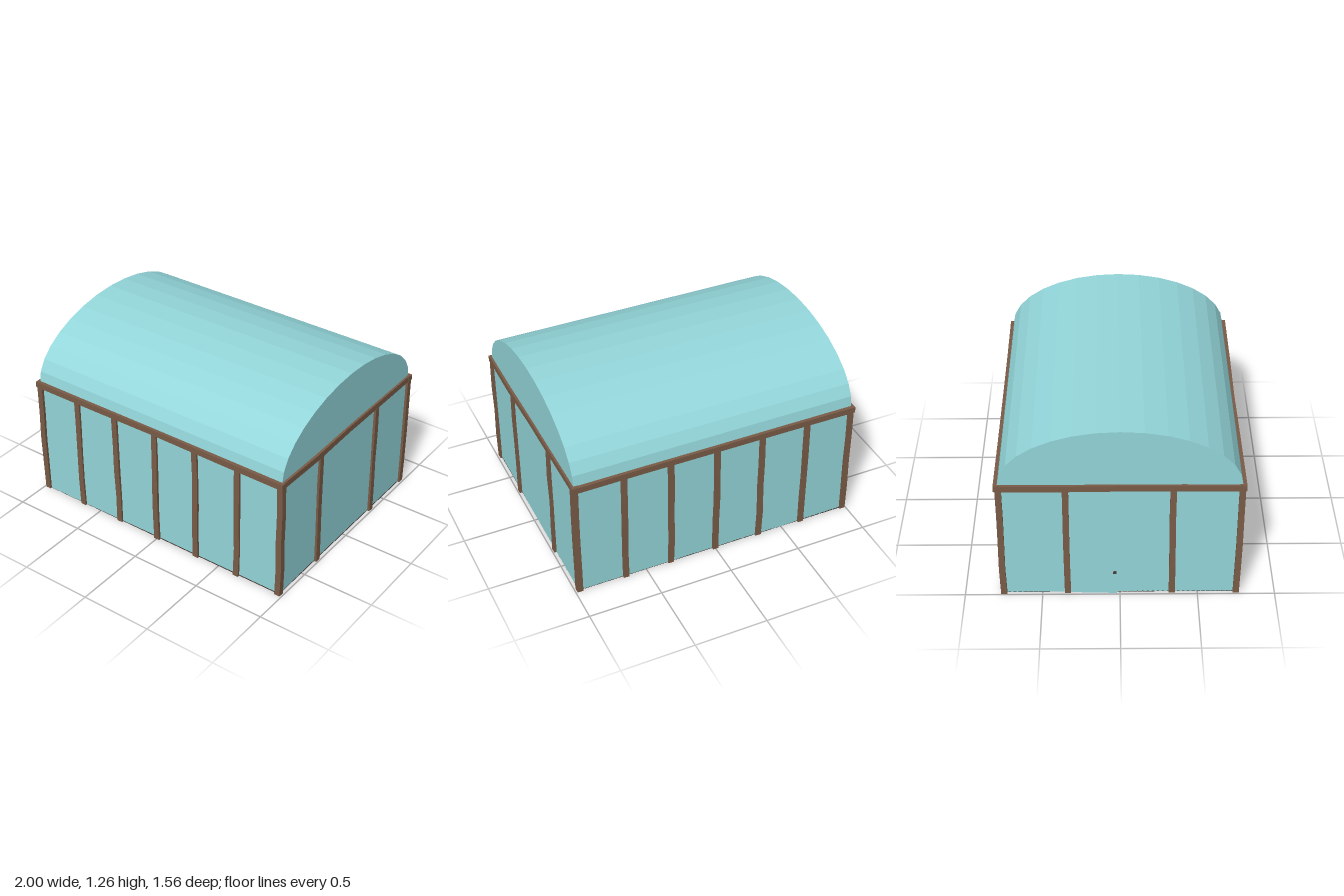
import * as THREE from 'three';

const glass = new THREE.MeshStandardMaterial({ color: 0x93d6da, flatShading: true, side: THREE.DoubleSide });
const wood = new THREE.MeshStandardMaterial({ color: 0x7a5c47, flatShading: true });
const dark = new THREE.MeshStandardMaterial({ color: 0x4a3a33, flatShading: true });

const HX = 0.975, HZ = 0.757;   // half size of the glazed box
const EAVE = 0.865, RIDGE = 1.265, BEAM = 0.042;

let seed = 7;
function rand() {
  seed = (seed * 16807) % 2147483647;
  return seed / 2147483647 - 0.5;
}

function box(name, w, h, d, x, y, z, material) {
  const mesh = new THREE.Mesh(new THREE.BoxGeometry(w, h, d), material);
  mesh.name = name;
  mesh.position.set(x, y, z);
  return mesh;
}

// Rough-hewn timber: each cross-section along the length is shifted a little
function timber(name, length, thick) {
  const geometry = new THREE.BoxGeometry(thick, length, thick, 1, 4, 1);
  const p = geometry.attributes.position;
  const shifts = Array.from({ length: 5 }, () => [rand() * 0.007, rand() * 0.007]);
  for (let i = 0; i < p.count; i++) {
    const [sx, sz] = shifts[Math.round((p.getY(i) / length + 0.5) * 4)];
    p.setX(i, p.getX(i) + sx);
    p.setZ(i, p.getZ(i) + sz);
  }
  geometry.computeVertexNormals();
  const mesh = new THREE.Mesh(geometry, wood);
  mesh.name = name;
  return mesh;
}

function createModel() {
  const model = new THREE.Group();
  model.name = 'greenhouse';

  // Floor
  model.add(box('floor', HX * 2, 0.008, HZ * 2, 0, 0.004, 0, dark));

  // Glass walls
  for (const s of [-1, 1]) {
    const long = new THREE.Mesh(new THREE.PlaneGeometry(HX * 2, EAVE), glass);
    long.name = 'longWall';
    long.position.set(0, EAVE / 2, s * HZ);
    long.rotation.y = s > 0 ? 0 : Math.PI;
    const end = new THREE.Mesh(new THREE.PlaneGeometry(HZ * 2, EAVE), glass);
    end.name = 'endWall';
    end.position.set(s * HX, EAVE / 2, 0);
    end.rotation.y = s * Math.PI / 2;
    model.add(long, end);
  }

  // Barrel roof: faceted half ellipse with closed gables
  const profile = [];
  for (let i = 0; i <= 16; i++) {
    const a = (i / 16) * Math.PI;
    profile.push(new THREE.Vector2(Math.cos(a) * HZ, Math.sin(a) * (RIDGE - EAVE)));
  }
  const roof = new THREE.Mesh(
    new THREE.ExtrudeGeometry(new THREE.Shape(profile), { depth: HX * 2, bevelEnabled: false }), glass);
  roof.name = 'barrelRoof';
  roof.rotation.y = Math.PI / 2;
  roof.position.set(-HX, EAVE, 0);
  model.add(roof);

  // Posts along the long sides (corners included) and on the ends
  const addPost = (name, x, z) => {
    const post = timber(name, 0.832, 0.04);
    post.position.set(x, 0.416, z);
    model.add(post);
  };
  for (const s of [-1, 1]) {
    for (let i = -3; i <= 3; i++) {
      addPost(Math.abs(i) === 3 ? 'cornerPost' : 'sidePost', i * 0.3235, s * 0.752);
    }
    for (const z of [-0.338, 0.332]) addPost('endPost', s * 0.97, z);
  }

  // Eave beams
  for (const s of [-1, 1]) {
    const side = timber('sideBeam', 1.985, BEAM);
    side.rotation.z = Math.PI / 2;
    side.position.set(0, 0.851, s * 0.756);
    const end = timber('endBeam', 1.55, BEAM);
    end.rotation.x = Math.PI / 2;
    end.position.set(s * 0.971, 0.851, 0);
    model.add(side, end);
  }

  // Door leaf on the -x end, hinged at the post and slightly ajar
  const door = new THREE.Group();
  door.name = 'door';
  door.position.set(-0.978, 0, -0.32);
  door.rotation.y = -0.035;
  door.add(
    box('doorPanel', 0.006, 0.828, 0.3, 0, 0.416, 0.15, glass),
    box('doorHandle', 0.012, 0.014, 0.022, -0.008, 0.18, 0.288, dark));
  model.add(door);

  return model;
}

export { createModel };
